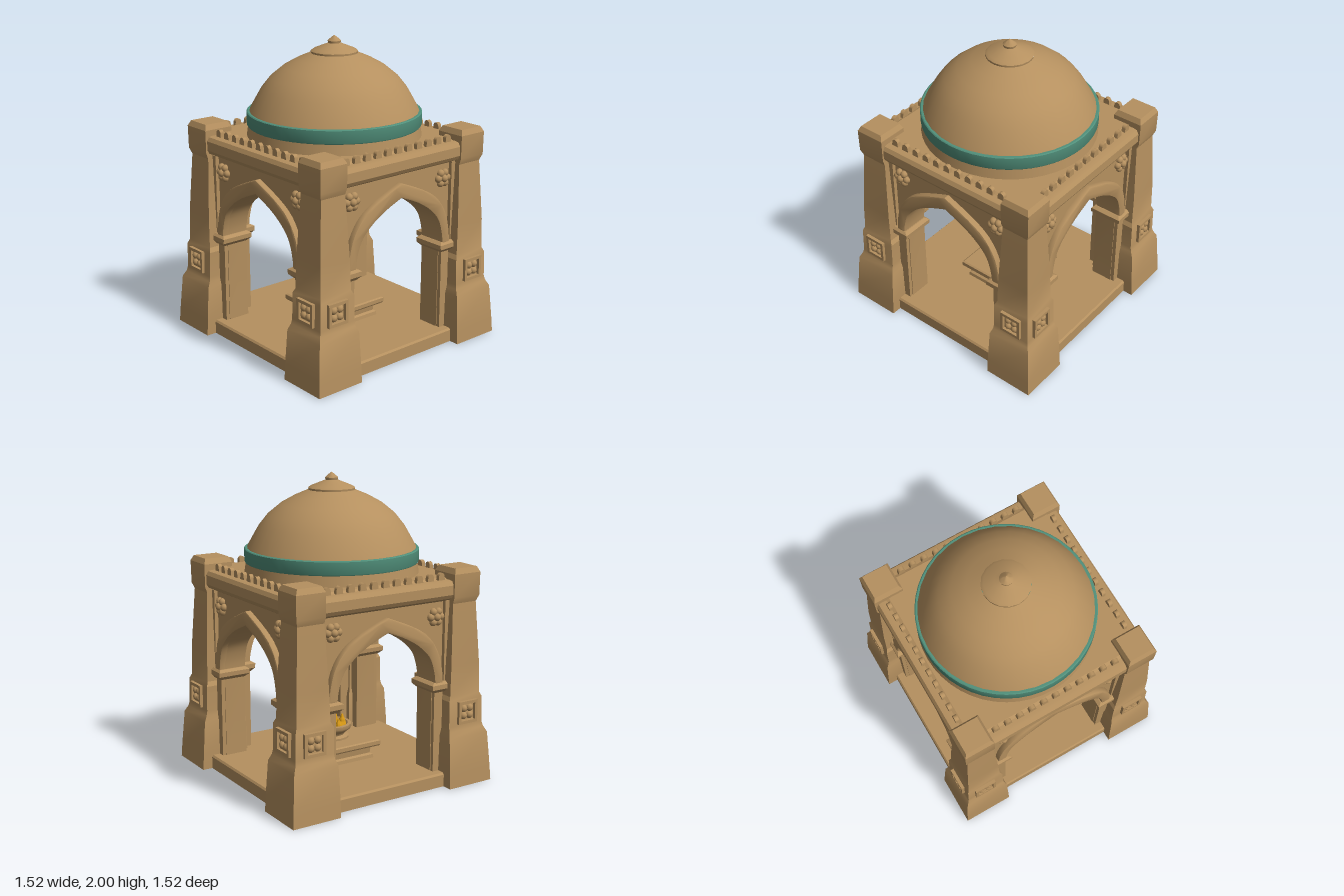
import * as THREE from 'three';
import { toCreasedNormals } from 'three/addons/utils/BufferGeometryUtils.js';

const mat = (name, color) => {
  const m = new THREE.MeshStandardMaterial({ color });
  m.name = name;
  return m;
};

// Stack of rectangles: each row is [y, x0, x1, z0, z1]
function loft(rows) {
  const pos = [], idx = [], n = rows.length;
  for (const [y, x0, x1, z0, z1] of rows) pos.push(x0, y, z1, x1, y, z1, x1, y, z0, x0, y, z0);
  for (let r = 0; r < n - 1; r++) {
    for (let i = 0; i < 4; i++) {
      const a = r * 4 + i, b = r * 4 + (i + 1) % 4;
      idx.push(a, b, b + 4, a, b + 4, a + 4);
    }
  }
  const t = (n - 1) * 4;
  idx.push(0, 2, 1, 0, 3, 2, t, t + 1, t + 2, t, t + 2, t + 3);
  const g = new THREE.BufferGeometry();
  g.setAttribute('position', new THREE.Float32BufferAttribute(pos, 3));
  g.setIndex(idx);
  return toCreasedNormals(g, 0.4);
}

// Centred square stack: each row is [y, halfWidth]
const squareLoft = rows => loft(rows.map(([y, h]) => [y, -h, h, -h, h]));

const lathe = (pts, seg) => toCreasedNormals(
  new THREE.LatheGeometry(pts.map(p => new THREE.Vector2(...p)), seg), 0.6);

// Pointed arch from the left spring to the right spring, given its right half
function archPoints(half) {
  const right = new THREE.SplineCurve(half.map(p => new THREE.Vector2(...p))).getPoints(14);
  const left = right.map(p => new THREE.Vector2(-p.x, p.y));
  return left.concat(right.slice(0, -1).reverse());
}

function extrude(points, depth, bevel = 0) {
  const g = new THREE.ExtrudeGeometry(new THREE.Shape(points), {
    depth, bevelEnabled: bevel > 0, bevelThickness: bevel, bevelSize: bevel, bevelOffset: -bevel, bevelSegments: 2,
  });
  return toCreasedNormals(g, 0.5);
}

export function createModel() {
  const stone = mat('sandstone', 0xb5905f);
  const teal = mat('teal glaze', 0x51907b);
  const gold = mat('flame gold', 0xd99a16);
  const model = new THREE.Group();
  model.name = 'domedPavilion';

  const add = (parent, name, geo, material = stone, x = 0, y = 0, z = 0) => {
    const m = new THREE.Mesh(geo, material);
    m.name = name;
    m.position.set(x, y, z);
    parent.add(m);
    return m;
  };
  const box = (w, h, d) => new THREE.BoxGeometry(w, h, d);

  // Floor and roof slabs
  add(model, 'floor', squareLoft([[0, 0.69], [0.08, 0.69], [0.092, 0.68]]));
  add(model, 'roofSlab', squareLoft([[1.24, 0.62], [1.34, 0.62], [1.36, 0.58]]));

  // Shared geometry for the four sides
  const pillarGeo = loft([
    [0, 0.42, 0.758], [0.1, 0.42, 0.752], [0.33, 0.425, 0.735], [0.37, 0.437, 0.715], [0.4, 0.44, 0.708],
    [0.57, 0.44, 0.705], [0.6, 0.455, 0.692], [0.8, 0.462, 0.688], [1.2, 0.48, 0.665], [1.24, 0.478, 0.68],
    [1.39, 0.478, 0.682], [1.425, 0.495, 0.665],
  ].map(([y, a, b]) => [y, a, b, a, b]));

  const inner = archPoints([[0.37, 0.68], [0.36, 0.76], [0.325, 0.86], [0.25, 0.94], [0.14, 1.01], [0, 1.07]]);
  const outer = archPoints([[0.435, 0.68], [0.425, 0.78], [0.39, 0.9], [0.31, 1.01], [0.18, 1.09], [0, 1.165]]);
  const v = (x, y) => new THREE.Vector2(x, y);
  const wallGeo = extrude([v(-0.5, 0.05), v(-0.37, 0.05), ...inner, v(0.37, 0.05), v(0.5, 0.05),
    v(0.5, 1.26), v(-0.5, 1.26)], 0.15);
  const archGeo = extrude([...outer, ...inner.slice().reverse()], 0.035, 0.01);

  const lintelGeo = loft([
    [1.215, -0.5, 0.5, 0.46, 0.615], [1.235, -0.5, 0.5, 0.46, 0.655], [1.26, -0.5, 0.5, 0.46, 0.67],
    [1.32, -0.5, 0.5, 0.46, 0.67], [1.345, -0.5, 0.5, 0.46, 0.655], [1.35, -0.5, 0.5, 0.46, 0.63],
  ]);
  const capitalGeo = loft([
    [0.625, 0.365, 0.455, 0.455, 0.635], [0.65, 0.34, 0.475, 0.435, 0.66], [0.68, 0.338, 0.475, 0.435, 0.66],
    [0.695, 0.362, 0.46, 0.45, 0.64],
  ]);
  const capitalGeoLeft = capitalGeo.clone().rotateY(Math.PI).translate(0, 0, 1.095);
  const merlon = new THREE.Shape();
  merlon.moveTo(-0.026, 0);
  merlon.lineTo(0.026, 0);
  merlon.lineTo(0.022, 0.04);
  merlon.absarc(0, 0.04, 0.022, 0, Math.PI, false);
  const merlonGeo = new THREE.ExtrudeGeometry(merlon, { depth: 0.026, bevelEnabled: false, curveSegments: 6 });
  const petalGeo = new THREE.SphereGeometry(0.026, 8, 6);

  for (let k = 0; k < 4; k++) {
    const side = new THREE.Group();
    side.name = ['front', 'left', 'back', 'right'][k] + 'Side';
    side.rotation.y = k * Math.PI / 2;
    model.add(side);
    add(side, 'cornerPillar', pillarGeo);
    add(side, 'archWall', wallGeo, stone, 0, 0, 0.455);
    add(side, 'archMoulding', archGeo, stone, 0, 0, 0.6);
    add(side, 'lintel', lintelGeo);
    add(side, 'rightCapital', capitalGeoLeft);
    add(side, 'leftCapital', capitalGeo);

    // Row of small rounded merlons behind the lintel edge
    for (let i = -5; i <= 5; i++) add(side, 'merlon', merlonGeo, stone, i * 0.085, 1.335, 0.59);

    for (const s of [-1, 1]) {
      // Jamb shaft and spandrel frame
      add(side, 'jambShaft', box(0.065, 0.56, 0.05), stone, s * 0.407, 0.36, 0.605);
      add(side, 'spandrelFrame', box(0.035, 0.54, 0.03), stone, s * 0.465, 0.95, 0.615);

      // Spandrel rosette
      const rosette = new THREE.Group();
      rosette.name = 'rosette';
      rosette.position.set(s * 0.385, 1.12, 0.612);
      side.add(rosette);
      for (let i = 0; i < 6; i++) {
        const a = i * Math.PI / 3;
        add(rosette, 'petal', petalGeo, stone, 0.038 * Math.cos(a), 0.038 * Math.sin(a), 0);
      }
      add(rosette, 'rosetteCentre', petalGeo, stone, 0, 0, 0.015);

      // Framed square ornament on the pillar face
      const panel = new THREE.Group();
      panel.name = 'pillarPanel';
      panel.position.set(s * 0.58, 0.487, 0.712);
      side.add(panel);
      for (const t of [-1, 1]) {
        add(panel, 'panelRail', box(0.15, 0.02, 0.03), stone, 0, t * 0.065, 0);
        add(panel, 'panelStile', box(0.02, 0.13, 0.03), stone, t * 0.065, 0, 0);
        for (const u of [-1, 1]) add(panel, 'panelPetal', petalGeo, stone, t * 0.024, u * 0.024, -0.008);
      }
    }
  }

  // Drum, glazed band, dome and finial
  add(model, 'drum', new THREE.CylinderGeometry(0.555, 0.57, 0.1, 48), stone, 0, 1.385, 0);
  add(model, 'glazedBand', lathe([[0, 1.43], [0.562, 1.43], [0.566, 1.437], [0.566, 1.515], [0.56, 1.52],
    [0, 1.52]], 48), teal);
  add(model, 'dome', lathe([[0.55, 1.515], [0.545, 1.527], [0.51, 1.59], [0.47, 1.66], [0.41, 1.735], [0.33, 1.8],
    [0.24, 1.85], [0.15, 1.888]], 32));
  add(model, 'finial', lathe([[0.15, 1.88], [0.152, 1.9], [0.135, 1.912], [0.07, 1.938], [0.04, 1.95],
    [0.043, 1.965], [0.02, 1.985], [0, 2]], 16));

  // Central altar and fire bowl
  add(model, 'altar', squareLoft([[0.08, 0.205], [0.115, 0.2], [0.125, 0.185], [0.17, 0.19], [0.18, 0.23],
    [0.19, 0.236], [0.215, 0.236], [0.222, 0.225]]));
  add(model, 'fireBowl', lathe([[0, 0.215], [0.115, 0.215], [0.115, 0.235], [0.085, 0.245], [0.09, 0.258],
    [0.125, 0.285], [0.132, 0.3], [0.132, 0.32], [0.11, 0.322], [0.1, 0.308], [0, 0.308]], 16));

  // Flames
  add(model, 'embers', new THREE.CylinderGeometry(0.1, 0.1, 0.008, 16), gold, 0, 0.312, 0);
  const flameGeo = lathe([[0.05, 0], [0.047, 0.05], [0.034, 0.1], [0.022, 0.14], [0.016, 0.18], [0, 0.22]], 8);
  add(model, 'mainFlame', flameGeo, gold, 0, 0.312, 0).scale.set(1, 1, 0.75);
  for (let i = 0; i < 4; i++) {
    const a = i * Math.PI / 2;
    add(model, 'smallFlame', flameGeo, gold, 0.085 * Math.cos(a), 0.312, 0.085 * Math.sin(a)).scale.set(0.45, 0.26, 0.45);
  }
  for (const s of [-1, 1]) add(model, 'sideFlame', flameGeo, gold, s * 0.035, 0.312, 0).scale.set(0.35, 0.52, 0.35);

  return model;
}
